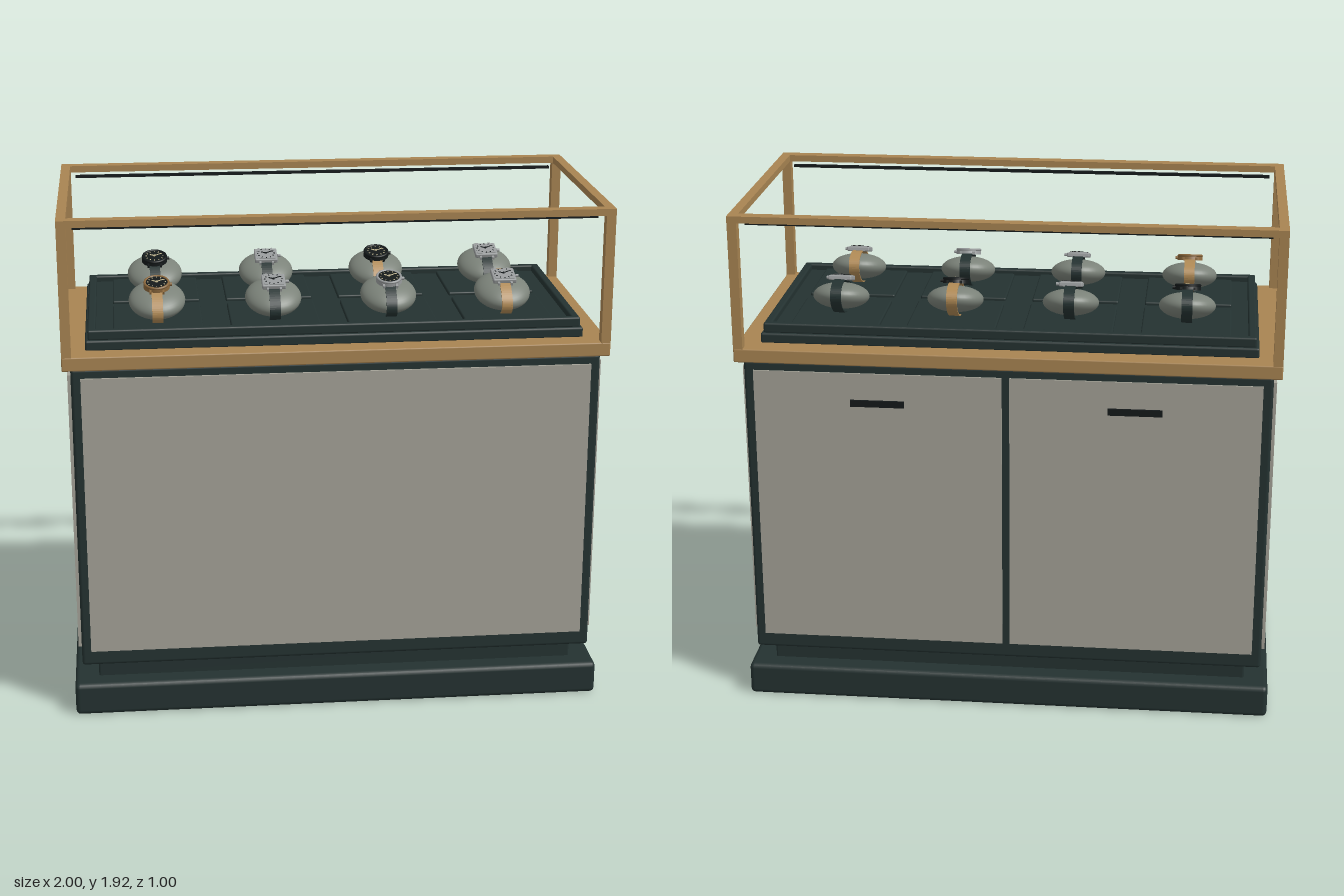
import * as THREE from 'three';
import { RoundedBoxGeometry } from 'three/addons/geometries/RoundedBoxGeometry.js';

const mat = (name, color) => {
  const m = new THREE.MeshStandardMaterial({ color });
  m.name = name;
  return m;
};

export function createModel() {
  const M = {
    dark: mat('dark lacquer', 0x243231),
    panel: mat('warm grey panel', 0xa4a297),
    wood: mat('oak', 0xa88452),
    cushion: mat('grey velvet', 0x7b8279),
    tan: mat('tan leather', 0xb08a55),
    black: mat('black', 0x14191a),
    silver: mat('silver', 0x989b9c),
    bronze: mat('bronze', 0x8a673c),
    cream: mat('cream marker', 0xd8cba0),
  };
  const root = new THREE.Group();
  root.name = 'displayCase';

  const add = (parent, name, geo, material, x = 0, y = 0, z = 0) => {
    const mesh = new THREE.Mesh(geo, material);
    mesh.name = name;
    mesh.position.set(x, y, z);
    parent.add(mesh);
    return mesh;
  };
  const box = (parent, name, m, w, h, d, x, y, z) =>
    add(parent, name, new THREE.BoxGeometry(w, h, d), m, x, y, z);
  // Box with softened edges
  const soft = (parent, name, m, w, h, d, x, y, z, r) =>
    add(parent, name, new RoundedBoxGeometry(w, h, d, 2, r), m, x, y, z);

  // Plinth, recessed neck and cabinet
  soft(root, 'plinth', M.dark, 2, 0.125, 1, 0, 0.0675, 0, 0.018);
  soft(root, 'neck', M.dark, 1.82, 0.09, 0.84, 0, 0.165, 0, 0.008);
  soft(root, 'cabinet', M.dark, 1.94, 1.17, 0.95, 0, 0.785, 0, 0.012);

  // Cladding panels, rear doors and their pulls
  const panelH = 1.075, panelY = 0.797;
  box(root, 'frontPanel', M.panel, 1.87, panelH, 0.02, 0, panelY, 0.474);
  for (const s of [-1, 1]) {
    box(root, 'sidePanel', M.panel, 0.03, panelH, 0.86, s * 0.968, panelY, 0);
    box(root, 'rearDoor', M.panel, 0.92, panelH, 0.02, s * 0.474, panelY, -0.471);
    box(root, 'doorPull', M.black, 0.2, 0.025, 0.01, s * 0.474, 1.22, -0.484);
  }

  // Oak counter and open vitrine frame
  soft(root, 'counter', M.wood, 2, 0.052, 1, 0, 1.395, 0, 0.005);
  for (const s of [-1, 1]) {
    for (const t of [-1, 1])
      box(root, 'post', M.wood, 0.035, 0.478, 0.038, s * 0.982, 1.658, t * 0.48);
    box(root, 'longTopRail', M.wood, 2, 0.025, 0.045, 0, 1.908, s * 0.4775);
    box(root, 'shortTopRail', M.wood, 0.035, 0.025, 0.91, s * 0.9825, 1.908, 0);
    box(root, 'lightStrip', M.black, 1.89, 0.01, 0.016, 0, 1.882, s * 0.442);
  }

  // Display tray with raised rim
  soft(root, 'trayBase', M.dark, 1.83, 0.04, 0.83, 0, 1.437, 0, 0.008);
  box(root, 'trayFloor', M.dark, 1.78, 0.02, 0.78, 0, 1.46, 0);
  for (const s of [-1, 1]) {
    soft(root, 'trayLongRim', M.dark, 1.81, 0.038, 0.03, 0, 1.474, s * 0.39, 0.007);
    soft(root, 'trayShortRim', M.dark, 0.03, 0.038, 0.78, s * 0.89, 1.474, 0, 0.007);
  }

  // Shared geometry for cushions, straps and watches
  const cushionGeo = new THREE.SphereGeometry(1, 40, 24).scale(0.105, 0.05, 0.114);
  const ring = new THREE.Shape().absellipse(0, 0, 0.126, 0.064, 0, Math.PI * 2);
  ring.holes.push(new THREE.Path().absellipse(0, 0, 0.121, 0.059, 0, Math.PI * 2, true));
  const strapGeo = new THREE.ExtrudeGeometry(ring, { depth: 0.04, bevelEnabled: false, curveSegments: 32 })
    .translate(0, 0, -0.02).rotateY(Math.PI / 2);
  const caseGeo = new THREE.CylinderGeometry(0.046, 0.049, 0.018, 36);
  const bezelGeo = new THREE.TorusGeometry(0.044, 0.005, 8, 36).rotateX(Math.PI / 2);
  const dialGeo = new THREE.CylinderGeometry(0.04, 0.04, 0.003, 36);
  const pinGeo = new THREE.CylinderGeometry(0.004, 0.004, 0.004, 12);
  const crownGeo = new THREE.CylinderGeometry(0.006, 0.006, 0.012, 12).rotateZ(Math.PI / 2);

  // Hand or marker: a thin plate at a clock angle, from radius a to b
  const mark = (g, name, m, angle, a, b, w, y) => {
    const r = (a + b) / 2;
    const p = box(g, name, m, w, 0.002, b - a, Math.sin(angle) * r, y, -Math.cos(angle) * r);
    p.rotation.y = -angle;
  };

  function watch(square, caseMat) {
    const g = new THREE.Group();
    g.name = square ? 'squareWatch' : 'roundWatch';
    const ink = square ? M.black : M.cream;
    if (square) {
      soft(g, 'case', caseMat, 0.088, 0.018, 0.086, 0, 0, 0, 0.005);
      box(g, 'dial', M.silver, 0.072, 0.003, 0.072, 0, 0.0095, 0);
    } else {
      add(g, 'case', caseGeo, caseMat);
      add(g, 'bezel', bezelGeo, caseMat, 0, 0.009, 0);
      add(g, 'dial', dialGeo, M.black, 0, 0.0095, 0);
    }
    for (let i = 0; i < 12; i++)
      mark(g, 'hourMarker', ink, i * Math.PI / 6, 0.029, 0.035, 0.003, 0.0115);
    mark(g, 'hourHand', ink, -Math.PI / 3, -0.004, 0.02, 0.004, 0.0125);
    mark(g, 'minuteHand', ink, Math.PI / 3, -0.004, 0.029, 0.003, 0.0135);
    add(g, 'handPin', pinGeo, ink, 0, 0.0135, 0);
    add(g, 'crown', crownGeo, caseMat, 0.051, 0, 0);
    for (const s of [-1, 1])
      for (const t of [-1, 1])
        box(g, 'lug', caseMat, 0.008, 0.01, 0.022, s * 0.024, -0.003, t * 0.046);
    return g;
  }

  // Eight pads, each with a tilted cushion, strap and watch
  const rows = [
    { z: -0.2, items: [[0, M.black, M.dark], [1, M.silver, M.dark], [0, M.black, M.tan], [1, M.silver, M.dark]] },
    { z: 0.195, items: [[0, M.bronze, M.tan], [1, M.silver, M.dark], [0, M.silver, M.dark], [1, M.silver, M.tan]] },
  ];
  for (const { z, items } of rows) {
    items.forEach(([square, caseMat, strapMat], i) => {
      const x = (i - 1.5) * 0.432;
      soft(root, 'pad', M.dark, 0.33, 0.02, 0.335, x, 1.472, z, 0.006);
      const stand = new THREE.Group();
      stand.name = 'watchStand';
      stand.position.set(x, 1.545, z);
      stand.rotation.x = 0.29;
      add(stand, 'cushion', cushionGeo, M.cushion);
      add(stand, 'strap', strapGeo, strapMat);
      const w = watch(square, caseMat);
      w.position.y = 0.066;
      stand.add(w);
      root.add(stand);
    });
  }
  return root;
}
